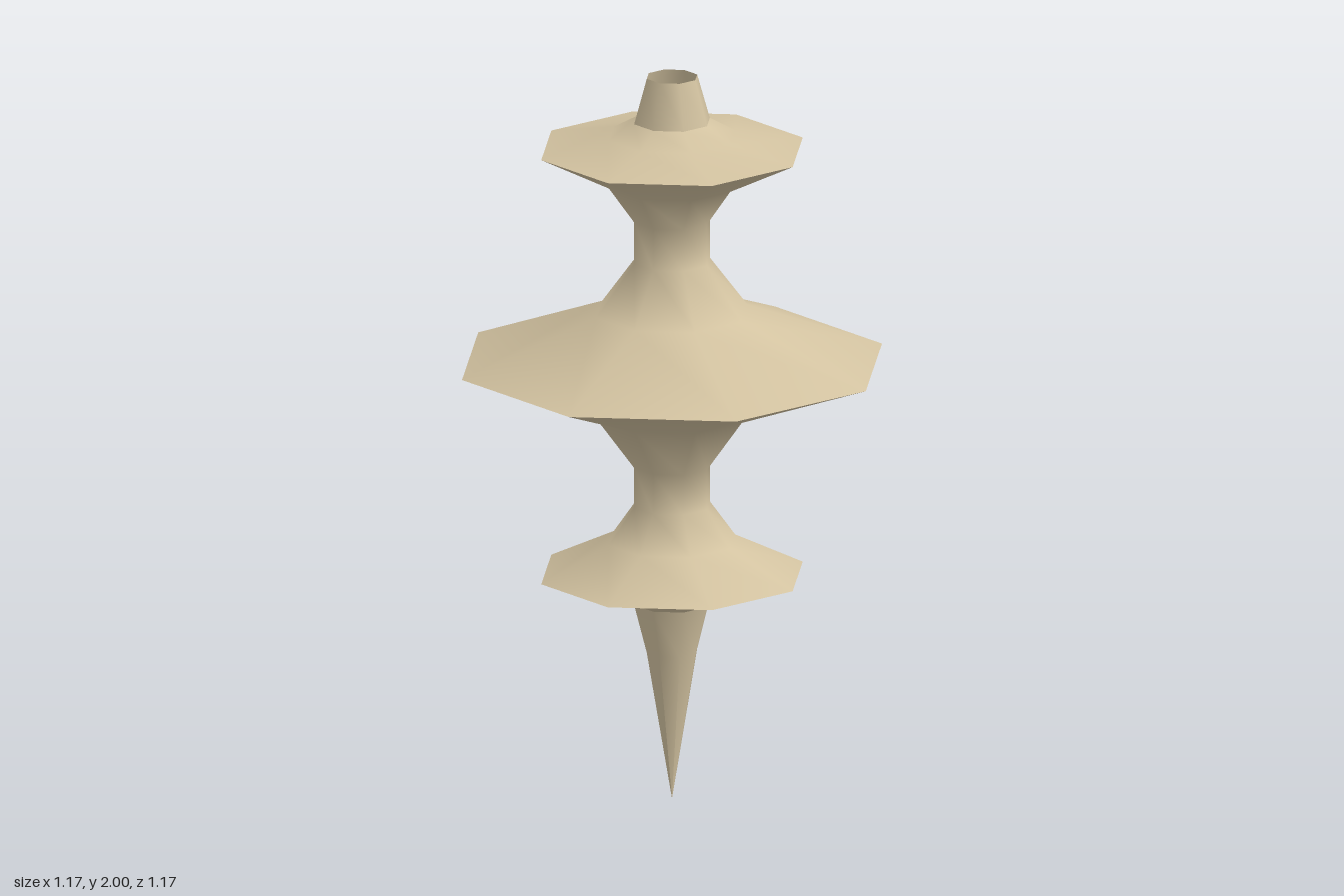
import * as THREE from 'three';

const SIDES = 8;

export function createModel() {
  const model = new THREE.Group();
  model.name = 'turnedSpindle';
  const cream = new THREE.MeshStandardMaterial({ color: 0xd2c2a0, side: THREE.DoubleSide });
  cream.name = 'cream';

  // Each section is smooth within itself; sections meet at sharp edges.
  const sections = {
    // pointed spike at the foot
    spike: [[0, 0], [0.07, 0.41], [0.105, 0.545]],
    lowerDiscUnderside: [[0.105, 0.545], [0.175, 0.587], [0.363, 0.625]],
    // waist between the lower and middle discs
    lowerWaist: [[0.363, 0.625], [0.175, 0.717], [0.105, 0.815], [0.105, 0.925], [0.21, 1.07], [0.583, 1.21]],
    // waist between the middle and upper discs
    upperWaist: [[0.583, 1.21], [0.21, 1.35], [0.105, 1.49], [0.105, 1.605], [0.175, 1.705], [0.363, 1.8]],
    upperDiscTop: [[0.363, 1.8], [0.175, 1.837], [0.105, 1.877]],
    // open tapered collar
    collar: [[0.105, 1.877], [0.07, 2]],
  };

  for (const [name, profile] of Object.entries(sections)) {
    const points = profile.map(([r, y]) => new THREE.Vector2(r, y));
    const mesh = new THREE.Mesh(new THREE.LatheGeometry(points, SIDES), cream);
    mesh.name = name;
    model.add(mesh);
  }
  return model;
}
